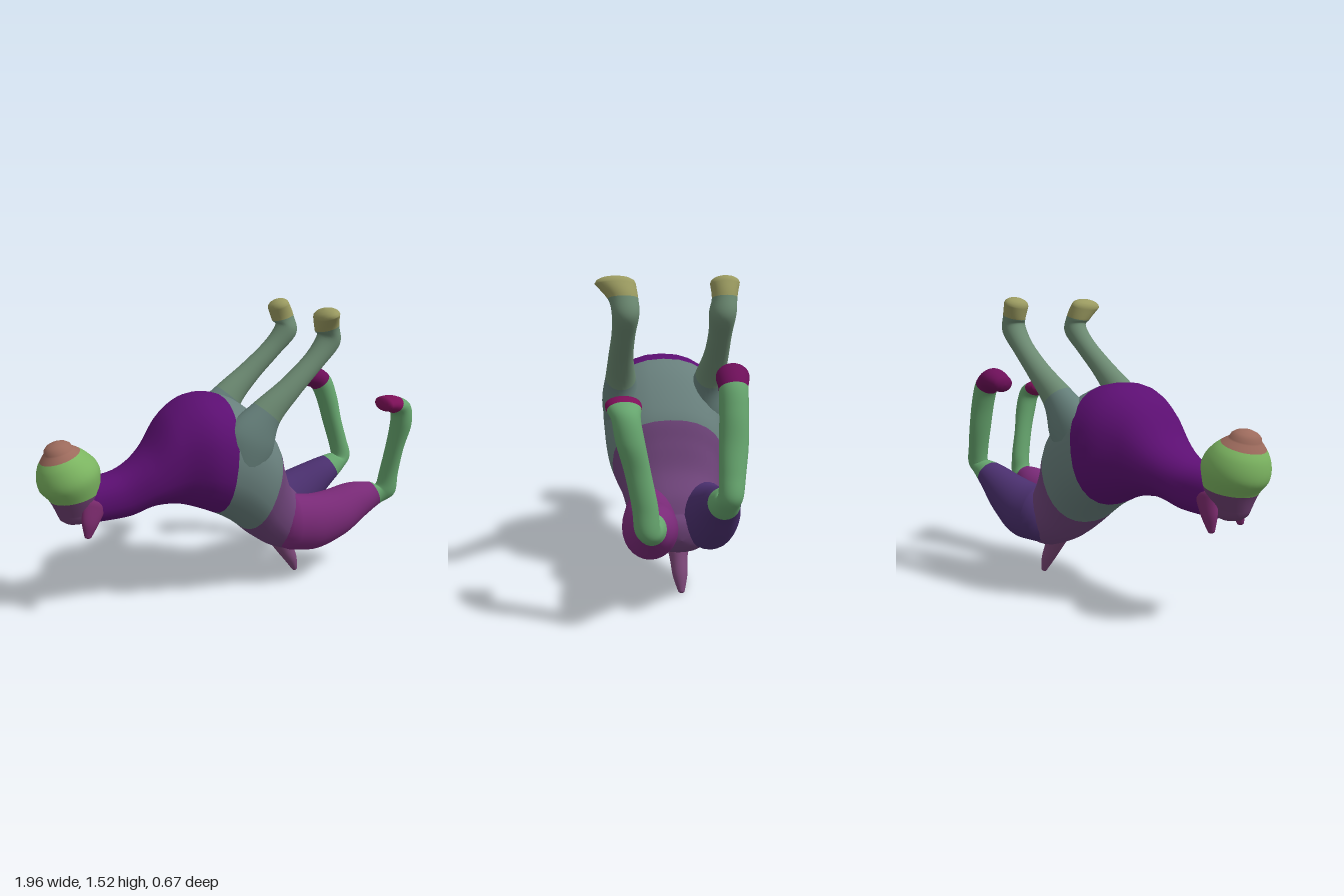
import * as THREE from 'three';

const SIDES = 28, STEPS = 7;

// Catmull-Rom blend of two neighbouring rows of numbers
function blend(rows, t) {
  const i = Math.min(Math.floor(t), rows.length - 2), u = t - i;
  const at = k => rows[Math.max(0, Math.min(rows.length - 1, k))];
  const [p, q, r, s] = [at(i - 1), at(i), at(i + 1), at(i + 2)];
  return q.map((v, k) => v + 0.5 * u * (r[k] - p[k]
    + u * (2 * p[k] - 5 * v + 4 * r[k] - s[k] + u * (3 * (v - r[k]) + s[k] - p[k]))));
}

// Skin through rows [cx, cy, cz, ax, ay, b]: centre, in-plane radius vector, z radius.
// bands: [name, colour, last row] split the skin into coloured parts.
function skin(rows, bands, power = 1) {
  const rings = [];
  const n = rows.length - 1;
  for (let k = 0; k <= n * STEPS; k++) rings.push({ t: k / STEPS, v: blend(rows, k / STEPS) });
  // rounded ends
  const dome = (ring, sign) => [1, 2, 3, 4].map(k => {
    const [x, y, z, ax, ay, b] = ring.v, f = k * Math.PI / 8;
    const c = Math.cos(f), d = sign * 0.6 * Math.sin(f);
    return { t: ring.t, v: [x + ay * d, y - ax * d, z, ax * c, ay * c, b * c] };
  });
  const all = [...dome(rings[0], -1).reverse(), ...rings, ...dome(rings[rings.length - 1], 1)];
  const pos = [], bend = v => Math.sign(v) * Math.abs(v) ** power;
  for (const { v: [x, y, z, ax, ay, b] } of all)
    for (let j = 0; j < SIDES; j++) {
      const f = j / SIDES * Math.PI * 2, c = bend(Math.cos(f)), s = bend(Math.sin(f));
      pos.push(x + ax * c, y + ay * c, z + b * s);
    }
  const index = [], parts = bands.map(() => []);
  for (let i = 0; i < all.length - 1; i++) {
    const band = Math.max(0, bands.findIndex(b => all[i].t < b[2] || b[2] >= n));
    for (let j = 0; j < SIDES; j++) {
      const a = i * SIDES + j, b = i * SIDES + (j + 1) % SIDES;
      const quad = [a, b, a + SIDES, b, b + SIDES, a + SIDES];
      index.push(...quad);
      parts[band].push(...quad);
    }
  }
  const whole = new THREE.BufferGeometry();
  whole.setAttribute('position', new THREE.Float32BufferAttribute(pos, 3));
  whole.setIndex(index);
  whole.computeVertexNormals();
  const group = new THREE.Group();
  bands.forEach(([name, color], k) => {
    const g = new THREE.BufferGeometry();
    g.setAttribute('position', whole.attributes.position);
    g.setAttribute('normal', whole.attributes.normal);
    g.setIndex(parts[k]);
    const mesh = new THREE.Mesh(g, new THREE.MeshStandardMaterial({ color }));
    mesh.name = name;
    group.add(mesh);
  });
  return group;
}

// Limb stations [x, y, z, in-plane radius, z radius] to skin rows
function limb(stations, bands) {
  return skin(stations.map(([x, y, z, a, b = a], i) => {
    const p = stations[Math.max(0, i - 1)], q = stations[Math.min(stations.length - 1, i + 1)];
    const l = Math.hypot(q[0] - p[0], q[1] - p[1]);
    return [x, y, z, -(q[1] - p[1]) / l * a, (q[0] - p[0]) / l * a, b];
  }), bands);
}

export function createModel() {
  const model = new THREE.Group();
  const add = (name, part) => { part.name = name; model.add(part); };

  // Torso: upper x, y, lower x, y, centre z, half width
  const torso = [
    [-0.72, 0.73, -0.74, 0.51, -0.02, 0.11],
    [-0.58, 0.76, -0.55, 0.52, -0.01, 0.125],
    [-0.45, 0.85, -0.42, 0.56, -0.01, 0.17],
    [-0.32, 1.02, -0.29, 0.55, -0.02, 0.23],
    [-0.15, 1.10, -0.17, 0.51, -0.02, 0.30],
    [0.05, 1.05, -0.05, 0.45, -0.02, 0.31],
    [0.23, 0.87, 0.05, 0.38, -0.02, 0.29],
    [0.29, 0.72, 0.14, 0.30, -0.03, 0.25],
    [0.34, 0.59, 0.24, 0.23, -0.04, 0.23],
    [0.43, 0.49, 0.34, 0.19, -0.05, 0.2],
    [0.47, 0.41, 0.41, 0.21, -0.05, 0.14],
  ].map(([tx, ty, bx, by, z, w]) =>
    [(tx + bx) / 2, (ty + by) / 2, z, (tx - bx) / 2, (ty - by) / 2, w]);
  add('torso', skin(torso, [
    ['neckAndChest', 0x5c0f72, 4.5], ['ribs', 0x687f7c, 6.2], ['pelvis', 0x6d4378, 10]], 0.88));

  // Head, tipped upward, with the muzzle at the far end
  add('head', limb([
    [-0.79, 0.57, -0.02, 0.10, 0.09],
    [-0.80, 0.66, -0.025, 0.125, 0.135],
    [-0.825, 0.75, -0.025, 0.155, 0.165],
    [-0.855, 0.83, -0.025, 0.125, 0.14],
    [-0.87, 0.89, -0.02, 0.07, 0.08],
  ], [['skull', 0x6d3f70, 1], ['face', 0x7cb561, 3.3], ['muzzle', 0x9c6a5c, 4]]));

  // Ears
  for (const side of [-1, 1])
    add(side > 0 ? 'leftEar' : 'rightEar', limb([
      [-0.73, 0.62, -0.02 + side * 0.09, 0.06, 0.03],
      [-0.76, 0.54, -0.02 + side * 0.105, 0.042, 0.028],
      [-0.775, 0.475, -0.02 + side * 0.11, 0.018, 0.014],
    ], [['ear', 0x7a2a6c, 2]]));

  // Tail
  add('tail', limb([
    [0.33, 0.27, -0.05, 0.07, 0.07],
    [0.38, 0.17, -0.05, 0.05, 0.045],
    [0.425, 0.09, -0.052, 0.035, 0.036],
    [0.455, 0.02, -0.055, 0.016, 0.016],
  ], [['tailSkin', 0x7c4778, 3]]));

  // Front legs with shoulder
  for (const side of [-1, 1]) {
    const z = d => -0.015 + side * d;
    const foot = side > 0 ? 0.07 : 0;
    add(side > 0 ? 'leftFrontLeg' : 'rightFrontLeg', limb([
      [-0.02, 0.76, z(0.19), 0.14, 0.11],
      [0.03, 0.89, z(0.215), 0.14, 0.1],
      [0.12, 1.02, z(0.225), 0.085, 0.075],
      [0.25, 1.14, z(0.23), 0.06, 0.06],
      [0.38, 1.26, z(0.225), 0.053, 0.055],
      [0.465, 1.36, z(0.22), 0.062, 0.062],
      [0.45, 1.425, z(0.23), 0.06, 0.058 + foot * 0.15],
      [0.425, 1.49, z(0.235 + foot * 0.4), 0.056, 0.068 + foot * 0.35],
    ], [['shoulder', 0x657f7a, 2], ['foreleg', 0x6c8a72, 6], ['foreHoof', 0x9a9a60, 7]]));
  }

  // Left hind leg
  add('leftHindLeg', limb([
    [0.34, 0.37, 0.08, 0.155, 0.13],
    [0.46, 0.36, 0.10, 0.155, 0.13],
    [0.60, 0.39, 0.105, 0.135, 0.125],
    [0.74, 0.445, 0.105, 0.105, 0.1],
    [0.84, 0.475, 0.125, 0.07, 0.065],
    [0.90, 0.50, 0.15, 0.06, 0.055],
    [0.912, 0.60, 0.16, 0.048, 0.055],
    [0.92, 0.75, 0.19, 0.045, 0.055],
    [0.928, 0.88, 0.22, 0.055, 0.06],
    [0.91, 0.97, 0.235, 0.055, 0.06],
    [0.85, 1.005, 0.24, 0.045, 0.075],
    [0.80, 1.01, 0.24, 0.038, 0.075],
  ], [['leftThigh', 0x7a2a78, 4], ['leftShank', 0x66a56e, 9.6], ['leftHindHoof', 0x7d1058, 11]]));

  // Right hind leg, bent a little further
  add('rightHindLeg', limb([
    [0.34, 0.38, -0.17, 0.155, 0.14],
    [0.45, 0.39, -0.19, 0.155, 0.13],
    [0.58, 0.455, -0.20, 0.125, 0.11],
    [0.71, 0.53, -0.20, 0.085, 0.085],
    [0.80, 0.575, -0.205, 0.058, 0.06],
    [0.835, 0.61, -0.215, 0.055, 0.055],
    [0.815, 0.70, -0.225, 0.05, 0.058],
    [0.78, 0.82, -0.235, 0.05, 0.064],
    [0.745, 0.95, -0.24, 0.056, 0.064],
    [0.70, 1.05, -0.245, 0.06, 0.065],
    [0.62, 1.09, -0.255, 0.062, 0.075],
    [0.54, 1.07, -0.26, 0.045, 0.06],
  ], [['rightThigh', 0x4b306f, 3.3], ['rightShank', 0x66a56e, 9], ['rightHindHoof', 0x6c0f58, 11]]));

  return model;
}
